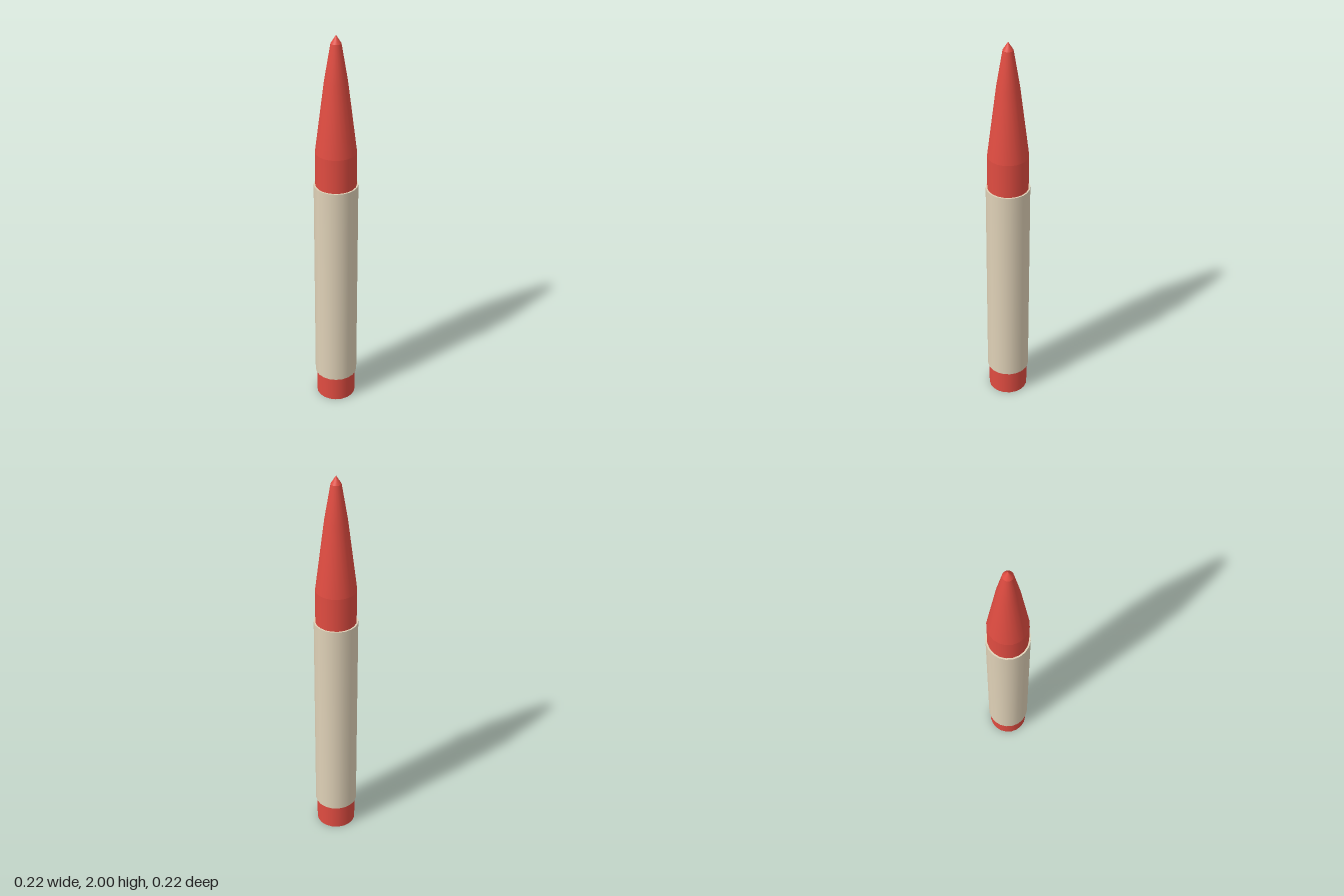
import * as THREE from 'three';

const SIDES = 20;

export function createModel() {
  const wax = new THREE.MeshStandardMaterial({ color: 0xe04c41 });
  wax.name = 'red wax';
  const paper = new THREE.MeshStandardMaterial({ color: 0xdfd1b7 });
  paper.name = 'beige paper';

  const group = new THREE.Group();
  group.name = 'crayon';

  const add = (name, geometry, material, y = 0) => {
    const mesh = new THREE.Mesh(geometry, material);
    mesh.name = name;
    mesh.position.y = y;
    group.add(mesh);
  };
  const lathe = (points) =>
    new THREE.LatheGeometry(points.map(([r, y]) => new THREE.Vector2(r, y)), SIDES);

  // Straight wax stick with a flat base
  add('stick', new THREE.CylinderGeometry(0.1, 0.1, 1.42, SIDES), wax, 0.71);

  // Tapered nose and its blunter point
  add('nose', lathe([[0.1, 1.42], [0.055, 1.78], [0.025, 1.96]]), wax);
  add('tip', lathe([[0.025, 1.96], [0, 2]]), wax);

  // Paper sleeve wrapped around the stick
  const bottom = 0.137, top = 1.245;
  add('sleeve', new THREE.CylinderGeometry(0.108, 0.108, top - bottom, SIDES), paper, (top + bottom) / 2);

  return group;
}
